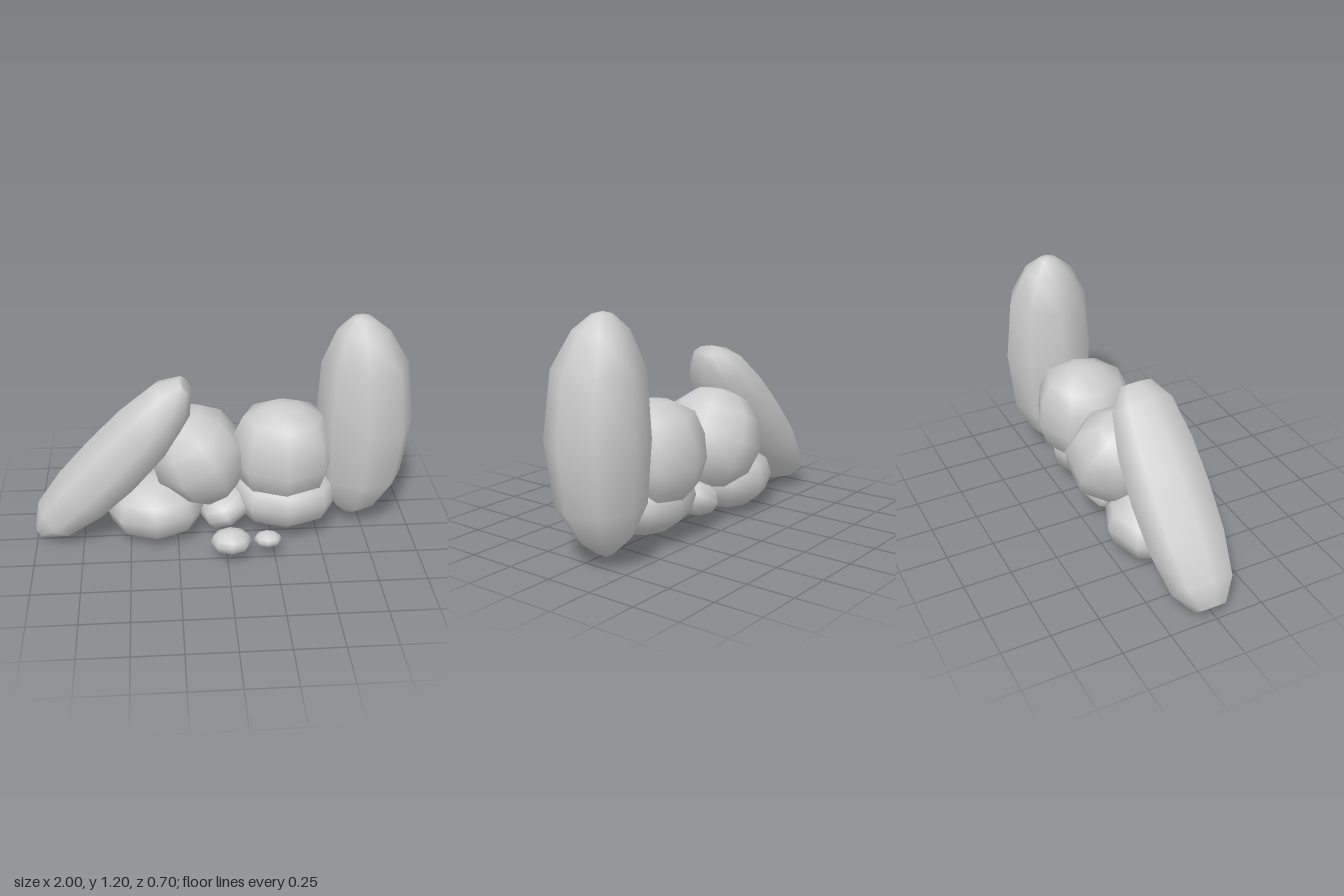
import * as THREE from 'three';
import { mergeVertices } from 'three/addons/utils/BufferGeometryUtils.js';

const stone = new THREE.MeshStandardMaterial({ color: 0xcccccc });

// Half profiles [radius, height], bottom to top, in units of the rock's radii
const ROUND = [[0, -1], [0.52, -0.86], [0.88, -0.5], [1, 0], [0.88, 0.5], [0.52, 0.86], [0, 1]];
const BLUNT = [[0, -0.95], [0.25, -1], [0.7, -0.8], [0.94, -0.42], [1, 0], [0.94, 0.42], [0.7, 0.8], [0.25, 1], [0, 0.96]];
const TALL = [[0, -1], [0.2, -0.95], [0.53, -0.83], [0.88, -0.54], [1, 0], [0.88, 0.56], [0.53, 0.86], [0.2, 0.98], [0, 1]];
const DOME = [[0, -1], [0.52, -0.86], [0.88, -0.5], [1, -0.1], [0.95, 0.36], [0.76, 0.76], [0.35, 0.95], [0, 1]];
const SQUAT = [[0, -1], [0.5, -0.88], [0.9, -0.45], [1, 0.1], [0.92, 0.62], [0.6, 0.93], [0, 1]];

// Eight-sided boulder: lathed profile, gently roughened, smooth shaded.
// turn spins the octagon, bend shifts both ends sideways, flare widens the ends in depth.
function rock(name, profile, radii, position, { tilt = 0, turn = 0, bend = 0, flare = 0, seed = 1, rough = 0.02 } = {}) {
  let geo = new THREE.LatheGeometry(profile.map(([r, y]) => new THREE.Vector2(r, y)), 8, turn);
  geo.deleteAttribute('uv');
  geo.deleteAttribute('normal');
  geo = mergeVertices(geo, 1e-3);
  const p = geo.attributes.position;
  for (let i = 0; i < p.count; i++) {
    const x = p.getX(i), y = p.getY(i), z = p.getZ(i);
    const wobble = 1 + rough * Math.sin(i * 12.9 + seed * 4.7);
    const widen = Math.max(Math.hypot(x, z), 0.1) ** -flare;
    p.setXYZ(i, x * wobble * radii[0] + bend * y * y, y * radii[1], z * wobble * widen * radii[2]);
  }
  geo.computeVertexNormals();
  const mesh = new THREE.Mesh(geo, stone);
  mesh.name = name;
  mesh.position.set(...position);
  mesh.rotation.z = tilt;
  return mesh;
}

export function createModel() {
  const group = new THREE.Group();
  group.name = 'rockCluster';
  group.add(
    // Standing stone and leaning slab at the two ends
    rock('standingStone', TALL, [0.254, 0.583, 0.242], [0.746, 0.621, -0.09], { bend: -0.045, turn: -0.08, rough: 0.01 }),
    rock('leaningSlab', BLUNT, [0.183, 0.565, 0.21], [-0.566, 0.452, -0.02], { tilt: -0.76, bend: -0.026, flare: 0.35, seed: 2 }),
    // Large boulders between them
    rock('middleBoulder', ROUND, [0.25, 0.27, 0.285], [-0.135, 0.445, -0.08], { tilt: 0.45, turn: Math.PI / 8, seed: 3 }),
    rock('rightBoulder', DOME, [0.277, 0.28, 0.262], [0.317, 0.45, -0.07], { seed: 4 }),
    // Low stones around the foot
    rock('leftFootStone', ROUND, [0.264, 0.173, 0.232], [-0.365, 0.175, -0.03], { tilt: 0.03, seed: 5 }),
    rock('rightFootStone', SQUAT, [0.28, 0.153, 0.228], [0.33, 0.205, -0.028], { tilt: 0.01, seed: 6 }),
    rock('wedgeStone', ROUND, [0.15, 0.1, 0.18], [0.01, 0.158, -0.05], { tilt: 0.5, seed: 7 }),
    // Loose pebbles in front
    rock('largePebble', ROUND, [0.107, 0.064, 0.086], [0.018, 0.115, 0.26], { seed: 8 }),
    rock('smallPebble', ROUND, [0.071, 0.04, 0.056], [0.208, 0.118, 0.258], { seed: 9 }),
  );
  return group;
}
